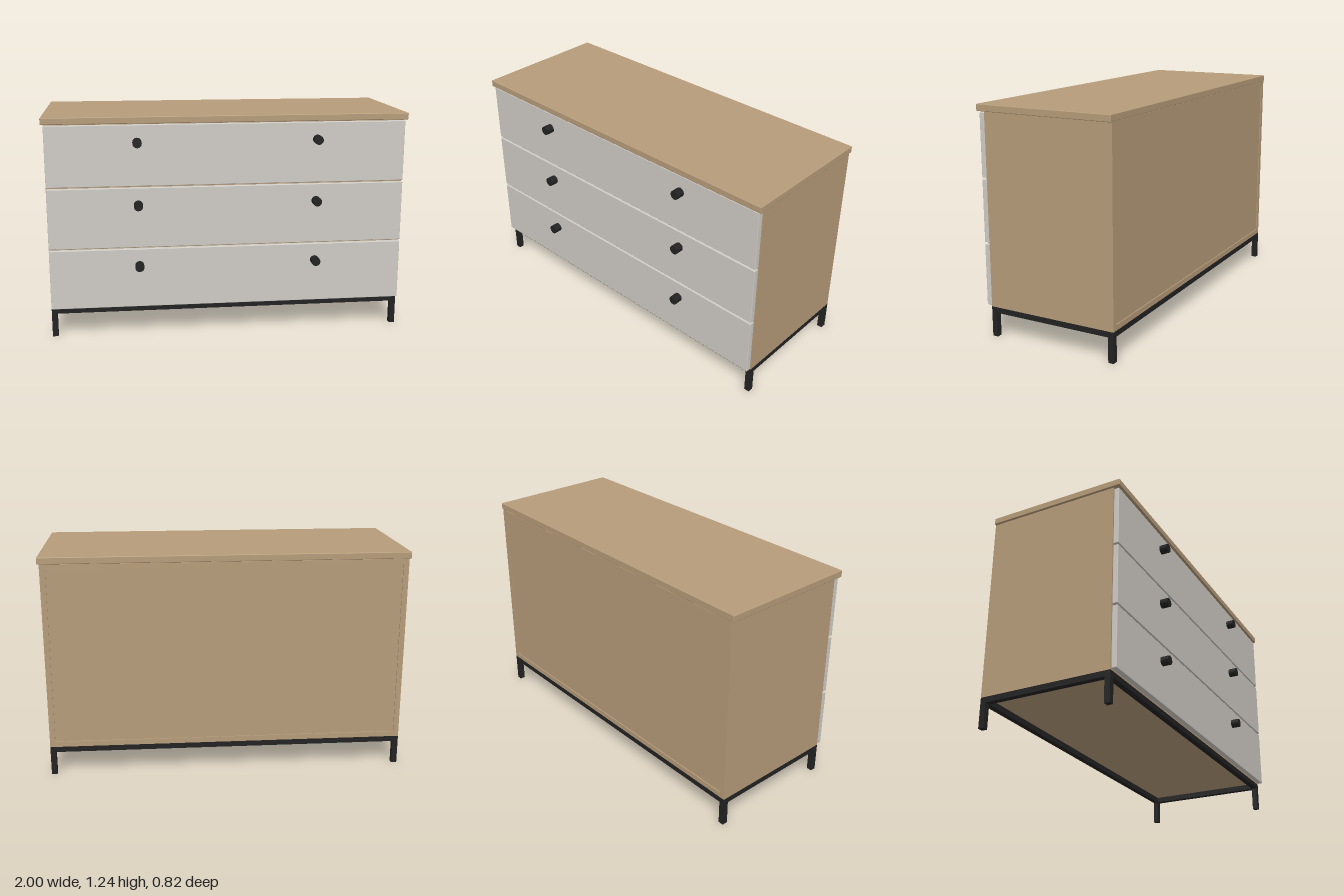
import * as THREE from 'three';
import { RoundedBoxGeometry } from 'three/addons/geometries/RoundedBoxGeometry.js';

const wood = new THREE.MeshStandardMaterial({ color: 0xb69c7a });
const paint = new THREE.MeshStandardMaterial({ color: 0xcfcbc5 });
const metal = new THREE.MeshStandardMaterial({ color: 0x222222 });

// Box given by its min and max corners, optionally with softened edges
function box(parent, name, material, [x0, y0, z0], [x1, y1, z1], radius = 0) {
  const size = [x1 - x0, y1 - y0, z1 - z0];
  const geometry = radius
    ? new RoundedBoxGeometry(...size, 2, radius)
    : new THREE.BoxGeometry(...size);
  const mesh = new THREE.Mesh(geometry, material);
  mesh.name = name;
  mesh.position.set((x0 + x1) / 2, (y0 + y1) / 2, (z0 + z1) / 2);
  parent.add(mesh);
  return mesh;
}

function group(parent, name) {
  const g = new THREE.Group();
  g.name = name;
  parent.add(g);
  return g;
}

export function createModel() {
  const model = new THREE.Group();
  model.name = 'chestOfDrawers';

  const W = 0.988, FRONT = 0.335, BACK = -0.405; // body half width and depth
  const BASE = 0.165, TOP = 1.2, T = 0.03;       // body bottom, top, board thickness
  const inner = W - T;

  // Worktop
  box(model, 'worktop', wood, [-1, TOP, BACK], [1, 1.237, 0.375], 0.004);

  // Carcass: sides, bottom, top rails and a slightly recessed back
  const carcass = group(model, 'carcass');
  box(carcass, 'rightSide', wood, [-W, BASE, BACK], [-inner, TOP, FRONT]);
  box(carcass, 'leftSide', wood, [inner, BASE, BACK], [W, TOP, FRONT]);
  box(carcass, 'bottomPanel', wood, [-inner, BASE, BACK], [inner, BASE + T, FRONT]);
  box(carcass, 'topPanel', wood, [-inner, TOP - T, BACK], [inner, TOP, FRONT]);
  box(carcass, 'backPanel', wood,
    [-inner, BASE + T, BACK + 0.006], [inner, TOP - T, BACK + 0.02]);

  // Drawers with two knobs each, and a rail behind every gap
  const height = 0.334, pitch = 0.3443, faceZ = 0.366;
  const knobGeometry = new THREE.CylinderGeometry(0.025, 0.025, 0.045, 24).rotateX(Math.PI / 2);
  for (let i = 0; i < 3; i++) {
    const y = 0.17 + i * pitch;
    const drawer = group(model, 'drawer' + (i + 1));
    box(drawer, 'drawerFront', paint, [-W + 0.002, y, FRONT + 0.002], [W - 0.002, y + height, faceZ], 0.003);
    for (const side of [-1, 1]) {
      const knob = new THREE.Mesh(knobGeometry, metal);
      knob.name = side < 0 ? 'rightKnob' : 'leftKnob';
      knob.position.set(side * 0.493, y + 0.24, faceZ + 0.0225);
      drawer.add(knob);
    }
    if (i > 0) {
      box(carcass, 'drawerRail', wood, [-inner, y - 0.02, FRONT - 0.06], [inner, y + 0.01, FRONT]);
    }
  }

  // Metal base: rectangular frame on four square legs
  const base = group(model, 'base');
  const S = 0.031, railY = BASE - S;
  for (const [name, z] of [['frontBar', FRONT - S], ['backBar', BACK]]) {
    box(base, name, metal, [-W, railY, z], [W, BASE, z + S]);
    for (const x of [-W, W - S]) box(base, 'leg', metal, [x, 0, z], [x + S, railY, z + S]);
  }
  for (const x of [-W, W - S]) {
    box(base, 'sideBar', metal, [x, railY, BACK + S], [x + S, BASE, FRONT - S]);
  }

  return model;
}
